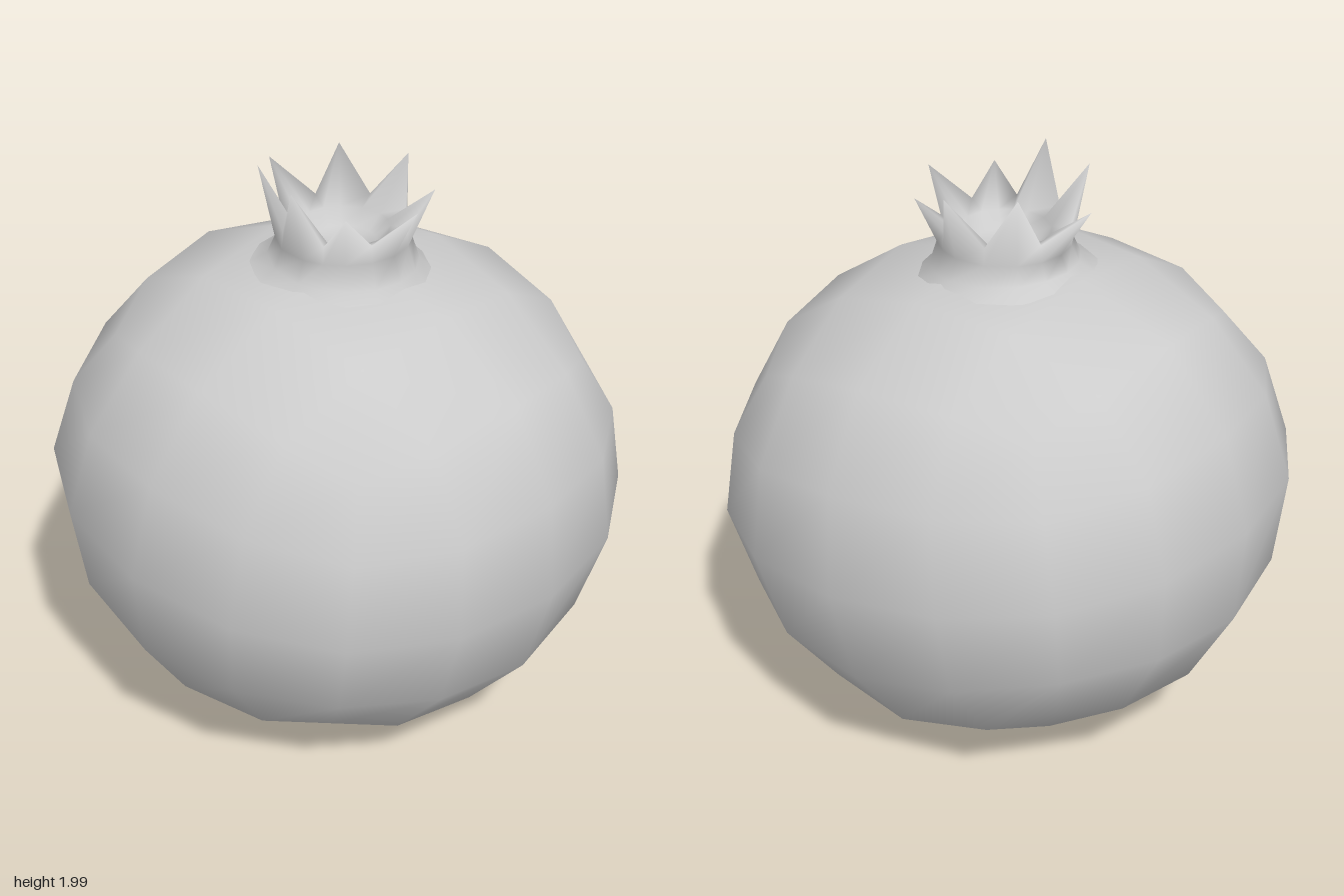
import * as THREE from 'three';
import { mergeVertices } from 'three/addons/utils/BufferGeometryUtils.js';

const grey = new THREE.MeshStandardMaterial({ color: 0xcccccc, side: THREE.DoubleSide });

// Rounded fruit: a 4x4x4 box softened like a twice subdivided cube, slightly squashed and tilted
function makeBody() {
  const geo = new THREE.BoxGeometry(2, 2, 2, 4, 4, 4);
  geo.deleteAttribute('normal');
  geo.deleteAttribute('uv');
  // key: number of coordinates at 1 and at 0.5; value: their softened positions
  const soft = {
    '1,0': [0.878, 0], '1,1': [0.82, 0.351], '1,2': [0.764, 0.326],
    '2,0': [0.643, 0], '2,1': [0.599, 0.302], '3,0': [0.509, 0],
  };
  const pos = geo.attributes.position;
  for (let i = 0; i < pos.count; i++) {
    const p = [pos.getX(i), pos.getY(i), pos.getZ(i)].map((v) => Math.round(v * 2) / 2);
    const count = (n) => p.filter((v) => Math.abs(v) === n).length;
    const [one, half] = soft[`${count(1)},${count(0.5)}`];
    const q = p.map((v) => Math.sign(v) * (Math.abs(v) === 1 ? one : Math.abs(v) === 0.5 ? half : 0));
    pos.setXYZ(i, q[0] * 1.095, q[1] * (q[1] > 0 ? 0.955 : 0.985), q[2] * 1.099);
  }
  const body = mergeVertices(geo);
  body.rotateZ(-0.11);
  body.translate(0, 0.865, 0);
  body.computeVertexNormals();
  return body;
}

// Crown: rings of 16 columns running up the neck, over the jagged rim and down into the cup
function makeCrown() {
  const cx = 0.02;
  const tips = [
    [0.34, 1.93, 0], [0.2, 1.92, 0.18], [0.06, 2, 0.28], [-0.18, 2, 0.19],
    [-0.32, 1.93, 0], [-0.15, 1.98, -0.16], [0.06, 1.97, -0.27], [0.23, 1.91, -0.21],
  ];
  const angles = tips.map(([x, , z]) => (Math.atan2(z, x - cx) + 2 * Math.PI) % (2 * Math.PI));
  const columns = [];
  tips.forEach((tip, k) => {
    const next = k === 7 ? 2 * Math.PI : angles[k + 1];
    columns.push({ a: angles[k], tip }, { a: (angles[k] + next) / 2, tip: null });
  });

  // radius, height and how far the ring follows the fruit's tilt
  const rings = [
    [0.31, 1.635, 0.1], [0.252, 1.68, 0.06], [0.225, 1.75, 0], 'rim',
    [0.155, 1.785, 0], [0.11, 1.735, 0], [0, 1.725, 0],
  ];
  const n = columns.length;
  const verts = [];
  const index = [];
  rings.forEach((ring, r) => columns.forEach(({ a, tip }, j) => {
    if (ring === 'rim' && tip) verts.push(...tip);
    else {
      const [rad, y, tilt] = ring === 'rim' ? [0.22, 1.81, 0] : ring;
      const x = rad * Math.cos(a);
      verts.push(cx + x, y - tilt * x, rad * Math.sin(a));
    }
    if (r < rings.length - 1) {
      const p = r * n + j, q = r * n + (j + 1) % n;
      index.push(p, p + n, q, q, p + n, q + n);
    }
  }));
  const geo = new THREE.BufferGeometry();
  geo.setAttribute('position', new THREE.Float32BufferAttribute(verts, 3));
  geo.setIndex(index);
  const crown = mergeVertices(geo);
  crown.computeVertexNormals();
  return crown;
}

export function createModel() {
  const group = new THREE.Group();
  group.name = 'pomegranate';
  const parts = { fruitBody: makeBody(), crown: makeCrown() };
  for (const [name, geo] of Object.entries(parts)) {
    const mesh = new THREE.Mesh(geo, grey);
    mesh.name = name;
    group.add(mesh);
  }
  return group;
}
